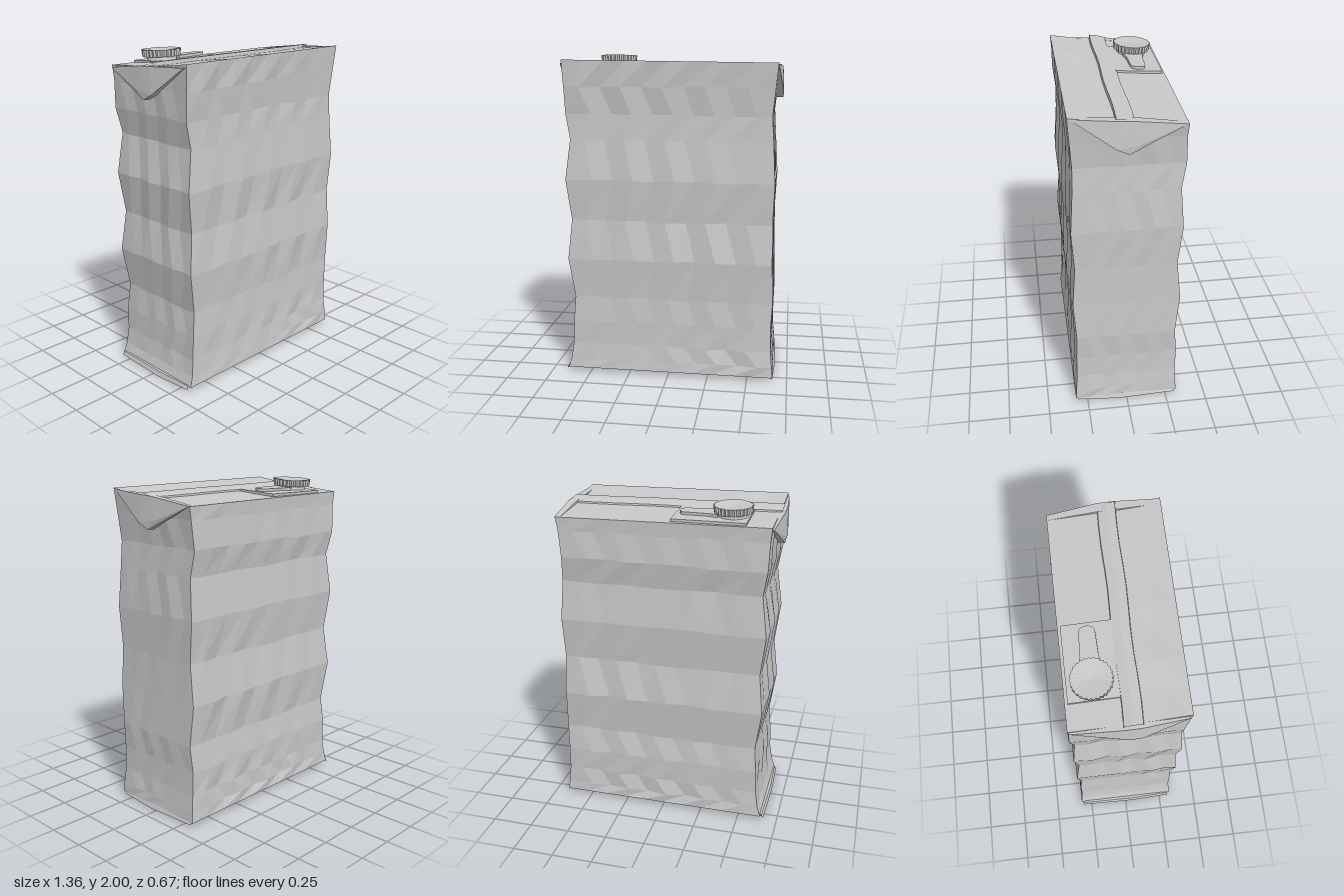
import * as THREE from 'three';
import { ConvexGeometry } from 'three/addons/geometries/ConvexGeometry.js';

const carton = new THREE.MeshStandardMaterial({ color: 0xc8c8c8 });
carton.name = 'carton grey';

const lerp = THREE.MathUtils.lerp;

function add(group, name, geometry) {
  // separate the faces so that every facet is flat
  const g = geometry.index ? geometry.toNonIndexed() : geometry;
  g.computeVertexNormals();
  const mesh = new THREE.Mesh(g, carton);
  mesh.name = name;
  group.add(mesh);
  return mesh;
}

// Quad grid from a rule (column, row) -> [x, y, z]
function grid(cols, rows, rule) {
  const pos = [], index = [];
  for (let j = 0; j <= rows; j++)
    for (let i = 0; i <= cols; i++) pos.push(...rule(i, j));
  for (let j = 0; j < rows; j++)
    for (let i = 0; i < cols; i++) {
      const a = j * (cols + 1) + i, b = a + 1, d = a + cols + 1, c = d + 1;
      index.push(a, b, c, a, c, d);
    }
  const g = new THREE.BufferGeometry();
  g.setAttribute('position', new THREE.Float32BufferAttribute(pos, 3));
  g.setIndex(index);
  return g;
}

// Small repeatable unevenness between -1 and 1
const rough = (a, b) => Math.sin(a * 12.9 + b * 7.3) * Math.cos(a * 3.1 - b * 5.7);

// Sloping top: high at the front, low at the back
const topProfile = [[0.33, 1.97], [0.2, 1.95], [0.08, 1.935], [-0.04, 1.925], [-0.33, 1.9]];
function topY(x, z) {
  let k = 0;
  while (k < topProfile.length - 2 && z < topProfile[k + 1][0]) k++;
  const [z0, y0] = topProfile[k], [z1, y1] = topProfile[k + 1];
  return lerp(y0, y1, (z - z0) / (z1 - z0)) - 0.01 * x;
}

// Crumpled body outline: y, left x, right x, front z, back z
const rings = [
  [0.025, -0.645, 0.66, 0.325, -0.322],
  [0.09, -0.625, 0.655, 0.32, -0.315],
  [0.19, -0.61, 0.645, 0.312, -0.31],
  [0.34, -0.605, 0.642, 0.312, -0.313],
  [0.5, -0.592, 0.65, 0.308, -0.298],
  [0.75, -0.628, 0.642, 0.325, -0.322],
  [1.0, -0.602, 0.638, 0.308, -0.296],
  [1.25, -0.633, 0.646, 0.325, -0.32],
  [1.5, -0.6, 0.632, 0.31, -0.3],
  [1.65, -0.626, 0.622, 0.306, -0.325],
  [1.82, -0.632, 0.638, 0.318, -0.318],
  [1.9, -0.64, 0.652, 0.328, -0.322],
];
const last = rings.length - 1;

function corner(row, n) {
  const [, l, r, f, b] = rings[row];
  return [[l, f], [r, f], [r, b], [l, b]][n % 4];
}

// One wall, folded in a herringbone of slanted facets
function wall(side, cols, amp) {
  const normal = [[0, 1], [1, 0], [0, -1], [-1, 0]][side];
  return grid(cols, last, (i, j) => {
    const [x0, z0] = corner(j, side), [x1, z1] = corner(j, side + 1);
    const inside = i > 0 && i < cols && j > 0 && j < last;
    const u = (i + (inside ? (j % 2 ? 0.28 : -0.28) : 0)) / cols;
    const push = inside ? amp * ((i % 2 ? 0.45 : -0.45) + 0.8 * rough(i + side * 3, j)) : 0;
    const x = lerp(x0, x1, u) + normal[0] * push;
    const z = lerp(z0, z1, u) + normal[1] * push;
    const y = j === last ? topY(x, z) : rings[j][0] + (inside ? 0.008 * rough(j, i) : 0);
    return [x, y, z];
  });
}

// Folded triangular flap hanging on one side from the top
function ear(s, inner) {
  const p = (x, y, z) => new THREE.Vector3(s * x, y, z);
  const pts = [];
  for (const [z, y, out] of [[0.315, 1.955, 0.004], [0.06, 1.94, 0.025], [-0.03, 1.935, 0.025],
    [-0.315, 1.895, 0.004], [0.07, 1.78, 0.034], [0.0, 1.745, 0.028], [-0.06, 1.8, 0.03]])
    pts.push(p(inner - 0.03, y, z), p(inner + out, y, z));
  return new ConvexGeometry(pts);
}

// Triangular flap folded under one end
function bottomFlap(s) {
  const pts = [];
  for (const [x, z, y] of [[0.66, 0.31, 0.012], [0.67, 0.05, 0], [0.665, -0.31, 0.012],
    [0.42, 0.05, 0.006], [0.39, -0.02, 0.006]])
    pts.push(new THREE.Vector3(s * x, y, z), new THREE.Vector3(s * (x - 0.01), 0.032, z));
  return new ConvexGeometry(pts);
}

export function createModel() {
  const model = new THREE.Group();
  model.name = 'drinkCarton';

  // Crumpled body
  const body = new THREE.Group();
  body.name = 'body';
  model.add(body);
  ['frontWall', 'leftWall', 'backWall', 'rightWall'].forEach((name, side) =>
    add(body, name, side % 2 ? wall(side, 7, 0.007) : wall(side, 10, 0.009)));

  add(body, 'topPanel', grid(8, topProfile.length - 1, (i, j) => {
    const z = THREE.MathUtils.clamp(topProfile[j][0], -0.322, 0.328);
    const x = lerp(-0.64, 0.652, i / 8);
    const inside = i > 0 && i < 8 && j > 0 && j < topProfile.length - 1;
    return [x, topY(x, z) + (inside ? 0.004 * rough(i, j) : 0), z];
  }));
  add(body, 'bottomPanel', grid(8, 1, (i, j) =>
    [lerp(-0.645, 0.66, i / 8), 0.025, j ? 0.325 : -0.322]));

  // Raised glued seam across the top, tallest at its front edge
  const seam = [[0.075, -0.01], [0.07, 0.022], [0.02, 0.02], [-0.03, 0.01], [-0.035, -0.01]];
  add(model, 'topSeam', grid(10, seam.length - 1, (i, j) => {
    const x = lerp(-0.655, 0.665, i / 10);
    const z = seam[j][0] + 0.004 * Math.sin(i * 1.3);
    return [x, topY(x, z) + seam[j][1], z];
  }));

  // Folded ears at the top and flaps below
  add(model, 'rightEar', ear(-1, 0.645));
  add(model, 'leftEar', ear(1, 0.648));
  for (const s of [-1, 1]) add(model, s < 0 ? 'rightBottomFlap' : 'leftBottomFlap', bottomFlap(s));

  // Opening with pad, neck, ribbed cap and pull tab
  const opening = new THREE.Group();
  opening.name = 'opening';
  opening.position.set(-0.39, 1.922, -0.165);
  opening.rotation.x = -0.06;
  model.add(opening);

  const pad = add(opening, 'pad', new THREE.BoxGeometry(0.44, 0.016, 0.28));
  pad.position.set(0.12, 0, 0);

  const neck = add(opening, 'neck', new THREE.CylinderGeometry(0.085, 0.09, 0.03, 24));
  neck.position.y = 0.015;

  const capShape = new THREE.CylinderGeometry(0.115, 0.11, 0.042, 56);
  const p = capShape.attributes.position;
  for (let i = 0; i < p.count; i++) {
    const x = p.getX(i), z = p.getZ(i);
    if (Math.hypot(x, z) < 0.01) {
      if (p.getY(i) > 0) p.setY(i, 0.01); // dished centre
      continue;
    }
    const tooth = Math.round(Math.atan2(x, z) / (Math.PI * 2) * 56) % 2 ? 0.95 : 1.02;
    p.setX(i, x * tooth);
    p.setZ(i, z * tooth);
  }
  const cap = add(opening, 'cap', capShape);
  cap.position.y = 0.05;

  const outline = new THREE.Shape();
  outline.moveTo(0.08, -0.065);
  outline.lineTo(0.14, -0.05);
  outline.lineTo(0.28, -0.045);
  outline.quadraticCurveTo(0.315, -0.04, 0.315, 0);
  outline.quadraticCurveTo(0.315, 0.04, 0.28, 0.045);
  outline.lineTo(0.14, 0.05);
  outline.lineTo(0.08, 0.065);
  const tab = add(opening, 'pullTab', new THREE.ExtrudeGeometry(outline, {
    depth: 0.018, bevelEnabled: false, curveSegments: 5 }));
  tab.rotation.x = -Math.PI / 2;
  tab.position.y = 0.007;

  return model;
}
